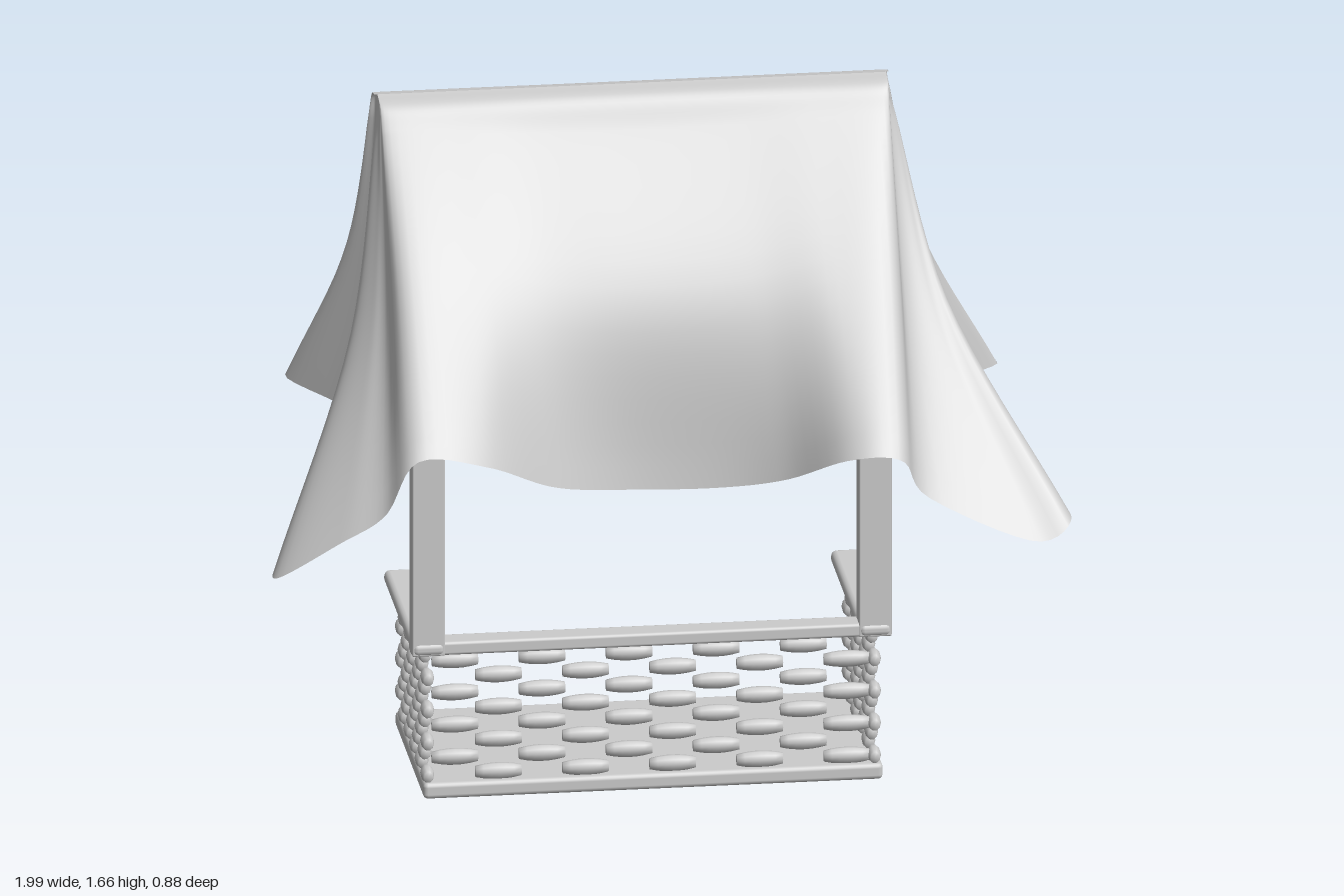
import * as THREE from 'three';
import { mergeGeometries } from 'three/addons/utils/BufferGeometryUtils.js';
import { RoundedBoxGeometry } from 'three/addons/geometries/RoundedBoxGeometry.js';

const material = new THREE.MeshStandardMaterial({ color: 0xcccccc });
const clothMaterial = new THREE.MeshStandardMaterial({ color: 0xcccccc, side: THREE.DoubleSide });
const { lerp } = THREE.MathUtils;

// Rounded box given by its extents on each axis
function block(name, [x0, x1], [y0, y1], [z0, z1], radius = 0.008) {
  const mesh = new THREE.Mesh(new RoundedBoxGeometry(x1 - x0, y1 - y0, z1 - z0, 2, radius), material);
  mesh.name = name;
  mesh.position.set((x0 + x1) / 2, (y0 + y1) / 2, (z0 + z1) / 2);
  return mesh;
}

// Barrel-shaped unit bead lying along x
function beadGeometry() {
  const profile = [new THREE.Vector2(0, -0.5)];
  for (let i = -3; i <= 3; i++) profile.push(new THREE.Vector2(0.5 - 0.17 * (i / 3) ** 2, i / 6));
  profile.push(new THREE.Vector2(0, 0.5));
  return new THREE.LatheGeometry(profile, 10).rotateZ(Math.PI / 2);
}

// Chequered wall of woven beads; place(k) gives the column centre
function weave(name, parity, length, turn, place) {
  const parts = [];
  for (let row = 0; row < 8; row++) {
    for (let k = (row + parity) % 2; k < 10; k += 2) {
      const [x, z] = place(k);
      const g = beadGeometry().scale(length, 0.043, 0.034);
      if (turn) g.rotateY(Math.PI / 2);
      parts.push(g.translate(x, 0.358 - row * 0.0425, z));
    }
  }
  const mesh = new THREE.Mesh(mergeGeometries(parts), material);
  mesh.name = name;
  return mesh;
}

// Cloth panels, going round from the front: each hangs from the ridge between
// two points [x, z] and ends in a hem of [x, y, z] points.
const frontPanel = {
  from: [-0.66, -0.15], to: [0.57, -0.15], midZ: 0.155,
  hem: [[-0.66, 0.91, 0.42], [-0.48, 0.88, 0.4], [-0.3, 0.78, 0.29], [-0.1, 0.74, 0.22],
    [0.12, 0.735, 0.22], [0.28, 0.77, 0.28], [0.42, 0.86, 0.41], [0.55, 0.86, 0.43]],
};
const leftPanel = {
  from: [0.59, -0.16], to: [0.59, -0.24],
  hem: [[0.62, 0.75, 0.4], [0.88, 0.63, 0.42], [0.98, 0.67, 0.38], [0.93, 0.68, 0.22],
    [0.78, 0.74, 0.06], [0.64, 0.79, -0.1], [0.7, 0.8, -0.25]],
};
// Tucked up in the middle, with a hanging flap at either end
const backPanel = {
  from: [0.59, -0.25], to: [-0.68, -0.25],
  hem: [[0.9, 0.8, -0.42], [0.68, 0.85, -0.34], [0.46, 0.95, -0.26], [0.38, 1.22, -0.08],
    [0.22, 1.3, 0.04], [-0.05, 1.3, 0.05], [-0.33, 1.31, 0.04], [-0.48, 1.22, -0.08],
    [-0.48, 0.94, -0.26], [-0.68, 0.87, -0.36], [-0.88, 0.84, -0.45]],
};
const rightPanel = {
  from: [-0.68, -0.24], to: [-0.68, -0.16],
  hem: [[-0.74, 0.81, -0.25], [-0.7, 0.78, -0.08], [-0.84, 0.7, 0.06], [-0.97, 0.6, 0.2],
    [-1, 0.58, 0.31], [-0.85, 0.69, 0.38], [-0.74, 0.77, 0.41]],
};

function clothCanopy() {
  // Control rings: ridge line, ridge edge, shoulder, half-way, hem
  const rings = [[], [], [], [], []];
  for (const { from, to, midZ, hem } of [frontPanel, leftPanel, backPanel, rightPanel]) {
    hem.forEach(([hx, hy, hz], i) => {
      const t = i / (hem.length - 1);
      const x = lerp(from[0], to[0], t);
      const z = lerp(from[1], to[1], t);
      const edge = new THREE.Vector3(x, 1.645, z);
      // The cloth flares: half-way down it has spread only 30 percent outward
      const mid = new THREE.Vector3(lerp(x, hx, 0.3), (1.64 + hy) / 2, midZ ?? lerp(z, hz, 0.3 + 0.15 * (hz > 0.1)));
      const shoulder = edge.clone().lerp(mid, 0.16);
      const points = [new THREE.Vector3(x, 1.66, -0.2), edge, shoulder, mid, new THREE.Vector3(hx, hy, hz)];
      points.forEach((p, r) => rings[r].push(p));
    });
  }
  const curves = rings.map((points) => new THREE.CatmullRomCurve3(points, true, 'catmullrom', 0.5));

  // Skin the rings with fold lines running from ridge to hem
  const around = 210, down = 32;
  const positions = [], index = [];
  for (let i = 0; i < around; i++) {
    const fold = new THREE.CatmullRomCurve3(curves.map((c) => c.getPoint(i / around)));
    for (let j = 0; j <= down; j++) positions.push(...fold.getPoint(j / down).toArray());
    for (let j = 0; j < down; j++) {
      const a = i * (down + 1) + j;
      const b = ((i + 1) % around) * (down + 1) + j;
      index.push(a, a + 1, b, b, a + 1, b + 1);
    }
  }
  const g = new THREE.BufferGeometry();
  g.setAttribute('position', new THREE.Float32BufferAttribute(positions, 3));
  g.setIndex(index);
  g.computeVertexNormals();
  const mesh = new THREE.Mesh(g, clothMaterial);
  mesh.name = 'clothCanopy';
  return mesh;
}

export function createModel() {
  const model = new THREE.Group();
  model.name = 'marketStall';

  // Floor slab
  model.add(block('floor', [-0.64, 0.51], [0, 0.042], [-0.18, 0.37], 0.012));

  // Posts, side rails and side weaves
  for (const [side, x] of [['left', 0.49], ['right', -0.628]]) {
    model.add(block(side + 'Post', [x - 0.041, x + 0.041], [0.38, 0.93], [0.32, 0.376], 0.004));
    model.add(block(side + 'Rail', [x - 0.041, x + 0.041], [0.38, 0.415], [-0.18, 0.38], 0.015));
    model.add(weave(side + 'Weave', 1, 0.058, true, (k) => [x, 0.344 - k * 0.054]));
  }

  // Front rail and weave
  model.add(block('frontRail', [-0.6, 0.46], [0.38, 0.415], [0.31, 0.375]));
  model.add(weave('frontWeave', 0, 0.115, false, (k) => [-0.559 + k * 0.109, 0.345]));

  model.add(clothCanopy());
  return model;
}
